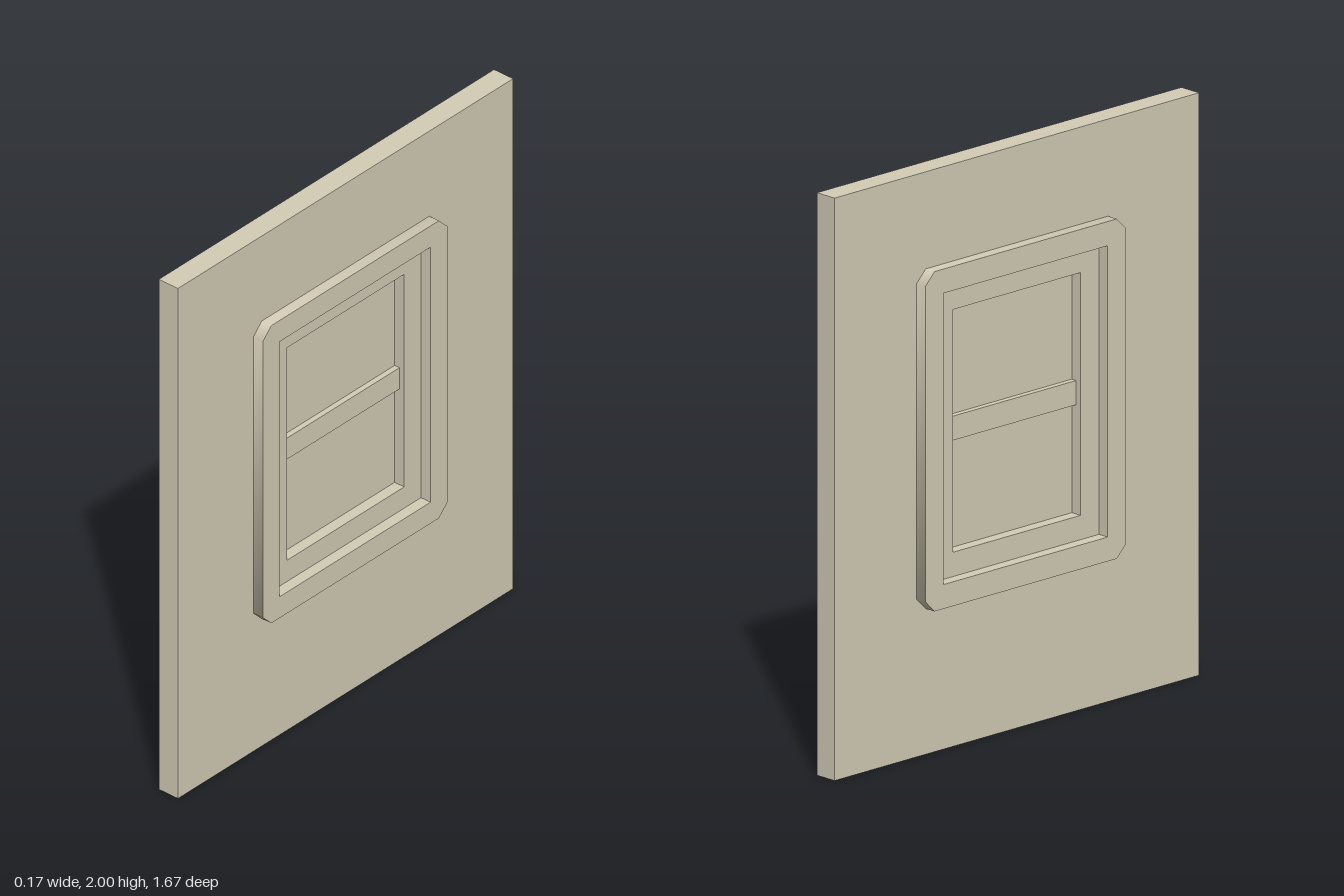
import * as THREE from 'three';
import { toCreasedNormals } from 'three/addons/utils/BufferGeometryUtils.js';

const U = 1 / 24; // building module
const material = new THREE.MeshStandardMaterial({ color: 0xd4ccb6 });
const paneMaterial = material.clone();
paneMaterial.side = THREE.DoubleSide;

// Rectangle outline (half width w, heights y0..y1) with corners cut by c
function outline(Type, w, y0, y1, c = 0) {
  const points = c
    ? [[-w + c, y0], [w - c, y0], [w, y0 + c], [w, y1 - c], [w - c, y1], [-w + c, y1], [-w, y1 - c], [-w, y0 + c]]
    : [[-w, y0], [w, y0], [w, y1], [-w, y1]];
  return new Type(points.map(([x, y]) => new THREE.Vector2(x * U, y * U)));
}

// Slab with an opening, lying in the yz plane, centred on x = 0
function ring(name, shape, hole, halfDepth) {
  shape.holes.push(hole);
  const geometry = new THREE.ExtrudeGeometry(shape, { depth: 2 * halfDepth * U, bevelEnabled: false });
  geometry.translate(0, 0, -halfDepth * U).rotateY(Math.PI / 2);
  const mesh = new THREE.Mesh(toCreasedNormals(geometry, Math.PI * 0.28), material);
  mesh.name = name;
  return mesh;
}

export function createModel() {
  const model = new THREE.Group();
  model.name = 'wallWithWindow';

  // Wall panel, its opening hidden inside the frame
  model.add(ring('wall', outline(THREE.Shape, 20, 0, 48), outline(THREE.Path, 10, 13, 39), 1));

  // Raised casing with clipped corners, standing out on both sides
  model.add(ring('windowFrame', outline(THREE.Shape, 11, 12, 40, 1), outline(THREE.Path, 9, 14, 38), 2));

  // Inner sash, flush with the wall
  model.add(ring('sash', outline(THREE.Shape, 9, 14, 38), outline(THREE.Path, 7, 16, 36), 1));

  // Horizontal glazing bar
  const bar = new THREE.Mesh(new THREE.BoxGeometry(U, 2 * U, 14 * U), material);
  bar.position.y = 26 * U;
  bar.name = 'glazingBar';
  model.add(bar);

  // Thin pane on the centre plane
  const pane = new THREE.Mesh(new THREE.PlaneGeometry(14 * U, 20 * U), paneMaterial);
  pane.rotation.y = Math.PI / 2;
  pane.position.y = 26 * U;
  pane.name = 'pane';
  model.add(pane);

  return model;
}
